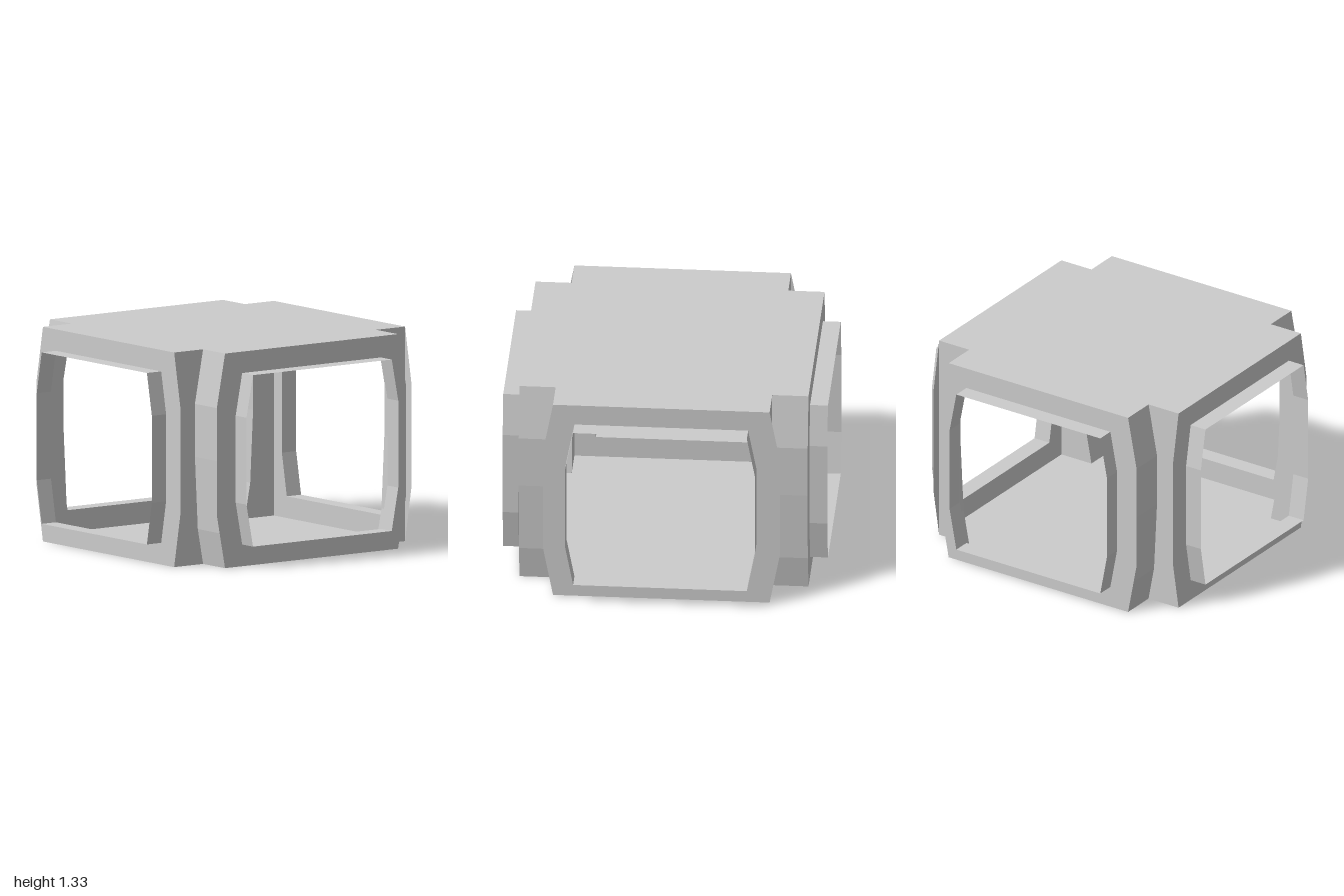
import * as THREE from 'three';

const H = 1.333, WALL = 0.89, NOTCH = 0.667, BULGE = 0.73;
const material = new THREE.MeshStandardMaterial({ color: 0xcccccc, flatShading: true, side: THREE.DoubleSide });

function mesh(geometry, name) {
  const m = new THREE.Mesh(geometry, material);
  m.name = name;
  return m;
}

// Ribbon of quads between two matching rows of [x, y, z] points
function ribbon(a, b) {
  const p = [];
  for (let i = 0; i < a.length - 1; i++) {
    p.push(...a[i], ...b[i], ...b[i + 1], ...a[i], ...b[i + 1], ...a[i + 1]);
  }
  const g = new THREE.BufferGeometry();
  g.setAttribute('position', new THREE.Float32BufferAttribute(p, 3));
  g.computeVertexNormals();
  return g;
}

// Eight-sided outline: straight top and bottom, sides that bow outwards
function bowed(end, mid, y0, y1, y2, y3) {
  const right = [[end, y0], [mid, y1], [mid, y2], [end, y3]];
  const left = right.map(([x, y]) => [-x, y]).reverse();
  return [...right, ...left].map(([x, y]) => new THREE.Vector2(x, y));
}

// Wall with a window opening and the thin collar standing out from it
function windowWall() {
  const wall = new THREE.Group();
  const hole = bowed(0.535, 0.585, 0.135, 0.4, 0.94, 1.2);
  const shape = new THREE.Shape(bowed(NOTCH, BULGE, 0, 0.333, 1, H));
  shape.holes.push(new THREE.Path(hole));
  const panel = mesh(new THREE.ShapeGeometry(shape), 'wallPanel');
  panel.position.z = WALL;
  const loop = [...hole, hole[0]];
  const ring = z => loop.map(v => [v.x, v.y, z]);
  wall.add(panel, mesh(ribbon(ring(WALL), ring(1)), 'windowCollar'));
  return wall;
}

// Plus-shaped plate with notched corners
function plate(y, name, up) {
  const s = new THREE.Shape();
  for (let q = 0; q < 4; q++) {
    const c = [1, 0, -1, 0][q], d = [0, 1, 0, -1][q];
    for (const [x, z] of [[WALL, -NOTCH], [WALL, NOTCH], [NOTCH, NOTCH]]) {
      const px = x * c - z * d, pz = x * d + z * c;
      if (s.curves.length || s.started) s.lineTo(px, pz);
      else { s.moveTo(px, pz); s.started = true; }
    }
  }
  const g = new THREE.ShapeGeometry(s);
  g.rotateX(up ? -Math.PI / 2 : Math.PI / 2);
  const m = mesh(g, name);
  m.position.y = y;
  return m;
}

export function createModel() {
  const model = new THREE.Group();
  model.name = 'windowedBox';
  model.add(plate(0, 'floor', false), plate(H, 'roof', true));

  ['frontWall', 'leftWall', 'backWall', 'rightWall'].forEach((name, i) => {
    const w = windowWall();
    w.name = name;
    w.rotation.y = i * Math.PI / 2;
    model.add(w);
  });

  // Recessed corners: one bowed face towards z, one flat face towards x
  const profile = [[0, NOTCH], [0.22, 0.708], [0.67, BULGE], [1, BULGE], [H, NOTCH]];
  for (const sx of [1, -1]) {
    for (const sz of [1, -1]) {
      const corner = new THREE.Group();
      corner.name = (sz > 0 ? 'front' : 'back') + (sx > 0 ? 'Left' : 'Right') + 'Corner';
      const inner = profile.map(([y, z]) => [sx * NOTCH, y, sz * z]);
      const side = profile.map(([y, z]) => [sx * WALL, y, sz * z]);
      const end = profile.map(([y]) => [sx * NOTCH, y, sz * WALL]);
      // keep the outward face in front on every mirrored copy
      const flip = sx * sz > 0;
      corner.add(
        mesh(flip ? ribbon(inner, side) : ribbon(side, inner), 'bowedCornerFace'),
        mesh(flip ? ribbon(end, inner) : ribbon(inner, end), 'flatCornerFace'));
      model.add(corner);
    }
  }
  return model;
}
